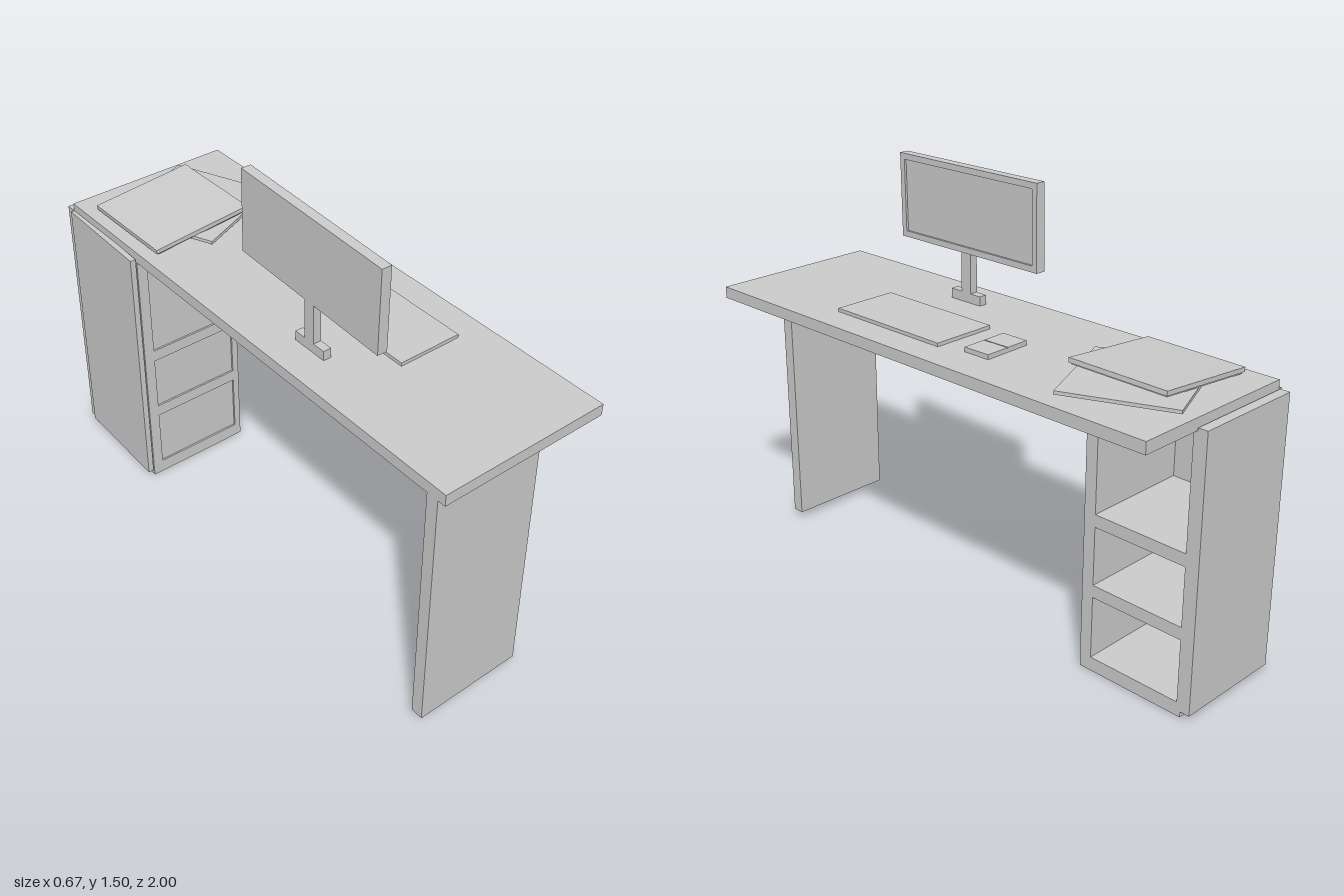
import * as THREE from 'three';

const material = new THREE.MeshStandardMaterial({ color: 0xcccccc, flatShading: true });

// Box given by its lower and upper limits on each axis
function box(parent, name, [x0, x1], [y0, y1], [z0, z1]) {
  const mesh = new THREE.Mesh(new THREE.BoxGeometry(x1 - x0, y1 - y0, z1 - z0), material);
  mesh.name = name;
  mesh.position.set((x0 + x1) / 2, (y0 + y1) / 2, (z0 + z1) / 2);
  parent.add(mesh);
  return mesh;
}

function group(parent, name, x = 0, y = 0, z = 0) {
  const g = new THREE.Group();
  g.name = name;
  g.position.set(x, y, z);
  parent.add(g);
  return g;
}

const TILT = 0.0077; // the desktop rises slightly towards the cabinet

function addCabinet(parent) {
  const cabinet = group(parent, 'cabinet');
  const X = [-0.31, 0.1];

  // Side wall towards the knee space: recessed core with raised frame strips
  box(cabinet, 'innerWall', X, [0, 0.98], [-0.595, -0.557]);
  for (const x of [[-0.31, -0.27], [0.075, 0.1]])
    box(cabinet, 'wallPost', x, [0, 0.98], [-0.557, -0.55]);
  for (const y of [[0, 0.05], [0.275, 0.32], [0.53, 0.575]])
    box(cabinet, 'wallRail', [-0.27, 0.075], y, [-0.557, -0.55]);

  // Shelves, closed at the rear and open towards the sitter
  for (const y of [[0, 0.05], [0.275, 0.32], [0.53, 0.575]])
    box(cabinet, 'shelf', X, y, [-0.96, -0.595]);
  box(cabinet, 'outerWall', X, [0, 0.98], [-0.965, -0.95]);
  box(cabinet, 'rearWall', [-0.31, -0.295], [0.05, 0.98], [-0.95, -0.595]);

  // Cover panels
  box(cabinet, 'endPanel', X, [0.02, 0.99], [-1, -0.965]);
  const rear = box(cabinet, 'rearPanel', [-0.329, -0.308], [0.025, 0.99], [-0.96, -0.55]);
  rear.rotation.y = -0.03;
}

function addMonitor(parent) {
  const monitor = group(parent, 'monitor', -0.172, 1.342, 0.24);
  monitor.rotation.set(TILT * 2.5, -0.027, 0, 'YXZ');
  const w = 0.34, h = 0.152, b = 0.022;
  box(monitor, 'monitorBack', [-0.018, 0.002], [-h, h], [-w, w]);
  box(monitor, 'screen', [0.002, 0.01], [-h + b, h - b], [-w + b, w - b]);

  // Raised bezel around the screen
  for (const s of [-1, 1]) {
    const y = [s * (h - b / 2) - b / 2, s * (h - b / 2) + b / 2];
    const z = [s * (w - b / 2) - b / 2, s * (w - b / 2) + b / 2];
    box(monitor, 'bezelRail', [0.002, 0.018], y, [-w, w]);
    box(monitor, 'bezelSide', [0.002, 0.018], [-h + b, h - b], z);
  }

  const stand = group(parent, 'monitorStand');
  box(stand, 'standBase', [-0.19, -0.16], [1.005, 1.045], [0.18, 0.32]);
  box(stand, 'standNeck', [-0.19, -0.16], [1.04, 1.21], [0.225, 0.27]);
}

export function createModel() {
  const model = new THREE.Group();
  model.name = 'desk';

  const top = box(model, 'desktop', [-0.31, 0.33], [0.97, 1.012], [-0.96, 1]);
  top.rotation.x = TILT;
  box(model, 'leg', [-0.31, 0.1], [0.025, 0.968], [0.925, 0.97]);
  addCabinet(model);
  addMonitor(model);

  // Keyboard
  const keyboard = box(model, 'keyboard', [-0.02, 0.22], [1.005, 1.023], [-0.01, 0.49]);
  keyboard.rotation.x = TILT;

  // Notepad in two halves
  const pad = group(model, 'notepad', 0.1, 1.012, -0.155);
  pad.rotation.set(TILT, 0.02, 0);
  box(pad, 'padLeft', [-0.09, -0.002], [0, 0.018], [-0.052, 0.052]);
  box(pad, 'padRight', [0.002, 0.09], [0, 0.018], [-0.052, 0.052]);
  box(pad, 'padFold', [-0.002, 0.002], [0, 0.015], [-0.052, 0.052]);

  // Two books, the upper one leaning on the lower
  const lower = box(model, 'lowerBook', [-0.178, 0.218], [1.028, 1.04], [-0.865, -0.475]);
  lower.rotation.y = 0.4;
  const upper = group(model, 'upperBook', -0.077, 1.05, -0.67);
  upper.rotation.z = 0.085;
  box(upper, 'upperCover', [-0.193, 0.193], [-0.006, 0.01], [-0.19, 0.19]);
  box(upper, 'upperPages', [-0.185, 0.185], [-0.012, -0.006], [-0.185, 0.185]);

  return model;
}
